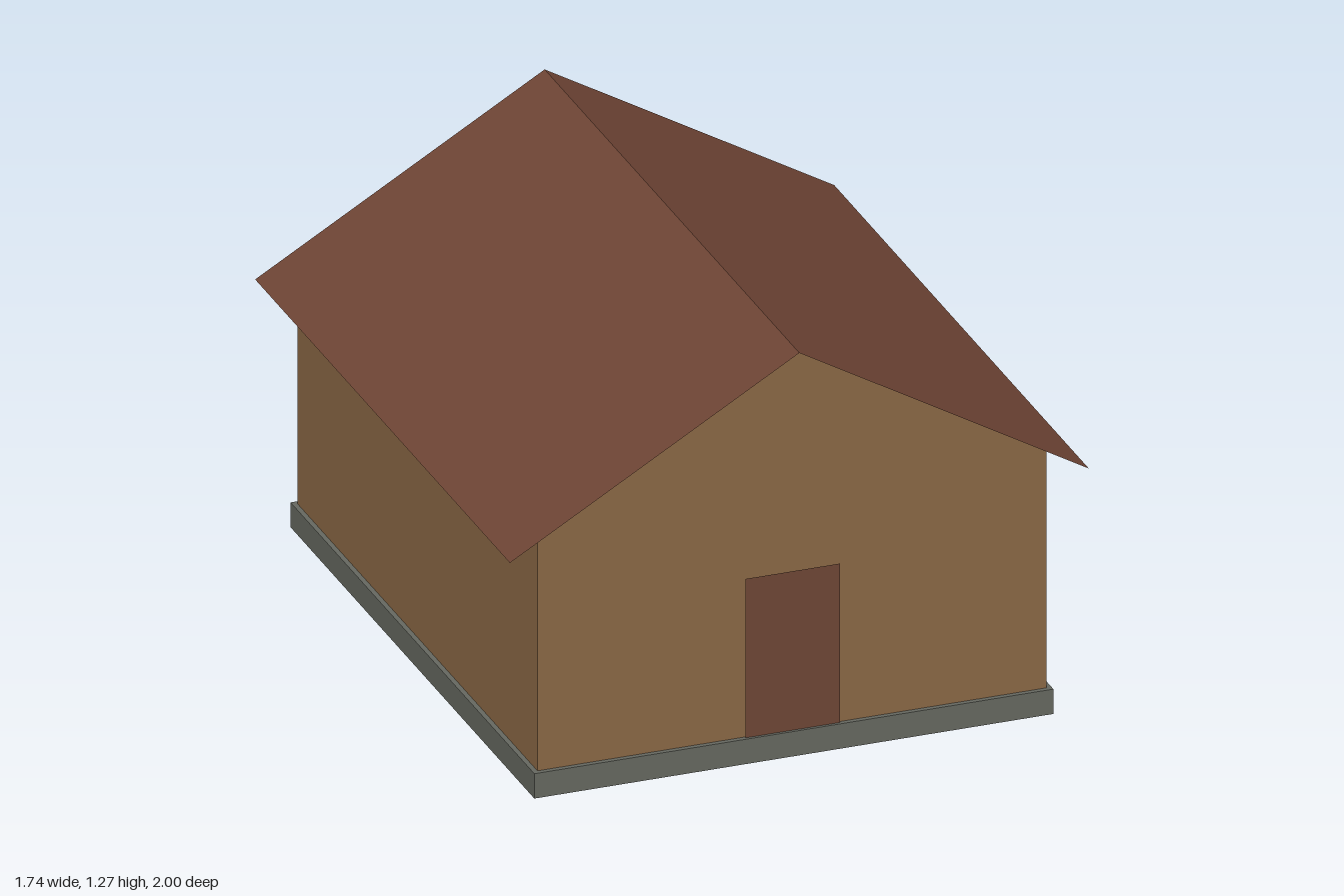
import * as THREE from 'three';

const material = (name, color) => {
  const m = new THREE.MeshStandardMaterial({ color, side: THREE.DoubleSide });
  m.name = name;
  return m;
};

export function createModel() {
  const house = new THREE.Group();
  house.name = 'house';

  const wallTan = material('wall tan', 0x8b6845);
  const roofBrown = material('roof brown', 0x6f4535);
  const doorBrown = material('door brown', 0x6f4735);
  const windowDark = material('window dark', 0x2b2223);
  const stoneGrey = material('stone grey', 0x666860);

  const RIDGE = 1.27, EAVE = 0.765, ROOF_X = 0.87, ROOF_Z = 1;
  const WALL_X = 0.765, WALL_Z = 0.942, BASE_X = 0.78, BASE_Z = 0.957, BASE_Y = 0.077;
  const slope = (RIDGE - EAVE) / ROOF_X;
  const wallTop = RIDGE - slope * WALL_X;

  // A flat panel, placed and turned
  const panel = (name, mat, w, h, [x, y, z], [rx, ry, rz] = [0, 0, 0]) => {
    const mesh = new THREE.Mesh(new THREE.PlaneGeometry(w, h), mat);
    mesh.name = name;
    mesh.position.set(x, y, z);
    mesh.rotation.set(rx, ry, rz);
    house.add(mesh);
    return mesh;
  };

  // Gable outline
  const gable = new THREE.Shape([
    [-WALL_X, BASE_Y], [WALL_X, BASE_Y], [WALL_X, wallTop], [0, RIDGE], [-WALL_X, wallTop],
  ].map(([x, y]) => new THREE.Vector2(x, y)));

  for (const s of [1, -1]) {
    const side = s > 0 ? 'left' : 'right';
    const end = s > 0 ? 'front' : 'back';
    const turn = s > 0 ? 0 : Math.PI;

    // Gable wall and side wall
    const gableWall = new THREE.Mesh(new THREE.ShapeGeometry(gable), wallTan);
    gableWall.name = end + 'Wall';
    gableWall.position.z = s * WALL_Z;
    gableWall.rotation.y = turn;
    house.add(gableWall);
    panel(side + 'Wall', wallTan, 2 * WALL_Z, wallTop - BASE_Y,
      [s * WALL_X, (wallTop + BASE_Y) / 2, 0], [0, s * Math.PI / 2, 0]);

    // Sheet-thin roof slope
    const roof = panel(side + 'Roof', roofBrown, Math.hypot(ROOF_X, RIDGE - EAVE), 2 * ROOF_Z,
      [s * ROOF_X / 2, (RIDGE + EAVE) / 2, 0]);
    roof.geometry.rotateX(-Math.PI / 2);
    roof.rotation.z = -s * Math.atan(slope);

    // Plinth edges, open underneath
    panel(end + 'Plinth', stoneGrey, 2 * BASE_X, BASE_Y, [0, BASE_Y / 2, s * BASE_Z], [0, turn, 0]);
    panel(side + 'Plinth', stoneGrey, 2 * BASE_Z, BASE_Y,
      [s * BASE_X, BASE_Y / 2, 0], [0, s * Math.PI / 2, 0]);
  }
  panel('plinthTop', stoneGrey, 2 * BASE_X, 2 * BASE_Z, [0, BASE_Y, 0], [-Math.PI / 2, 0, 0]);

  // Door runs down behind the plinth edge
  panel('door', doorBrown, 0.285, 0.57, [0, 0.285, WALL_Z + 0.006]);

  // Single window on the left wall
  panel('window', windowDark, 0.2, 0.215, [WALL_X + 0.006, 0.4975, 0], [0, Math.PI / 2, 0]);

  return house;
}
